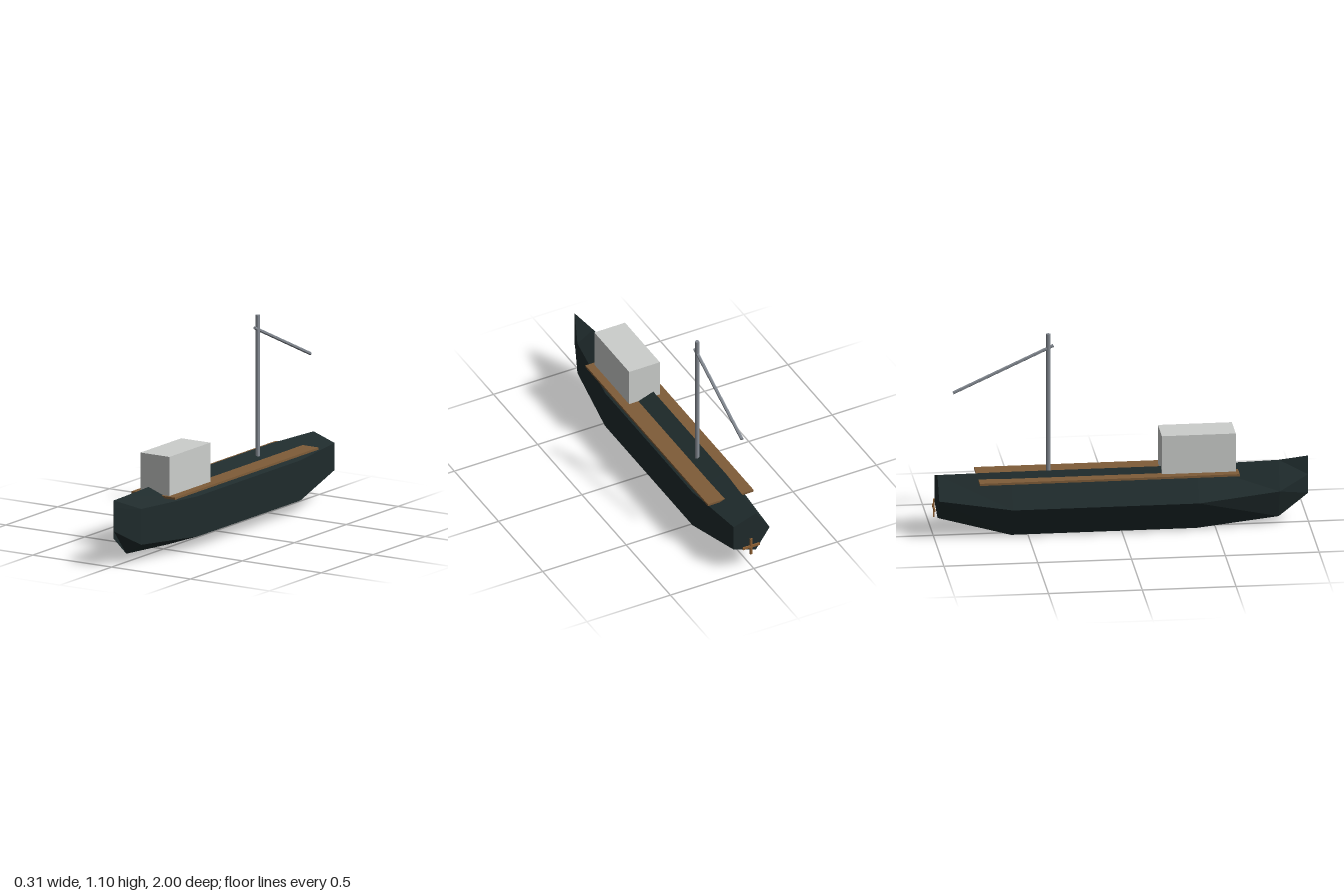
import * as THREE from 'three';

const CX = 0.0136; // keel line of the boat

function material(name, color, flatShading = true) {
  const m = new THREE.MeshStandardMaterial({ color, flatShading });
  m.name = name;
  return m;
}

// Five-sided hull lofted through elliptical stations [z, centreY, radiusX, radiusY]
function hullGeometry() {
  const stations = [
    [1.0, 0.26, 0.002, 0.11],
    [0.84, 0.1975, 0.084, 0.166],
    [0.4, 0.177, 0.169, 0.186],
    [-0.59, 0.177, 0.169, 0.186],
    [-0.98, 0.225, 0.119, 0.126],
  ];
  const sides = 5;
  const points = [];
  const index = [];
  for (const [z, cy, rx, ry] of stations) {
    for (let j = 0; j < sides; j++) {
      const a = Math.PI / 5 + (j * 2 * Math.PI) / sides;
      points.push(CX + rx * Math.cos(a), cy + ry * Math.sin(a), z);
    }
  }
  for (let i = 0; i < stations.length - 1; i++) {
    for (let j = 0; j < sides; j++) {
      const a = i * sides + j;
      const b = i * sides + ((j + 1) % sides);
      index.push(a, a + sides, b, b, a + sides, b + sides);
    }
  }
  // Bow and stern caps
  const last = (stations.length - 1) * sides;
  for (let j = 1; j < sides - 1; j++) {
    index.push(0, j, j + 1, last, last + j + 1, last + j);
  }
  const indexed = new THREE.BufferGeometry();
  indexed.setAttribute('position', new THREE.Float32BufferAttribute(points, 3));
  indexed.setIndex(index);
  const g = indexed.toNonIndexed();
  g.computeVertexNormals();
  return g;
}

export function createModel() {
  const model = new THREE.Group();
  model.name = 'boat';
  const hullPaint = material('dark hull', 0x1f2b2c);
  const wood = material('deck wood', 0x7f5c38);
  const white = material('cabin grey', 0xcccecc);
  const steel = material('mast steel', 0x858b93);
  const bronze = material('propeller bronze', 0x8f6033);

  const add = (name, geometry, mat, x, y, z, parent = model) => {
    const mesh = new THREE.Mesh(geometry, mat);
    mesh.name = name;
    mesh.position.set(x, y, z);
    parent.add(mesh);
    return mesh;
  };

  add('hull', hullGeometry(), hullPaint, 0, 0, 0);

  // Deck slab, pierced by the ridge of the hull
  add('deck', new THREE.BoxGeometry(0.274, 0.012, 1.385), wood, CX, 0.316, -0.0725);
  add('cabin', new THREE.BoxGeometry(0.184, 0.215, 0.394), white, CX, 0.4275, 0.407);

  // Mast and sloping boom
  add('mast', new THREE.CylinderGeometry(0.012, 0.012, 0.78, 8), steel, CX, 0.711, -0.385);
  const start = new THREE.Vector3(CX, 1.035, -0.358);
  const end = new THREE.Vector3(CX, 0.79, -0.893);
  const along = end.clone().sub(start);
  const middle = start.clone().add(end).multiplyScalar(0.5);
  const boom = add('boom', new THREE.CylinderGeometry(0.009, 0.009, along.length(), 6), steel, ...middle);
  boom.quaternion.setFromUnitVectors(new THREE.Vector3(0, 1, 0), along.normalize());

  // Crossed propeller blades behind the stern
  const propeller = new THREE.Group();
  propeller.name = 'propeller';
  propeller.position.set(CX, 0.15, -0.996);
  model.add(propeller);
  for (let i = 0; i < 2; i++) {
    const blade = add('propellerBlade', new THREE.BoxGeometry(0.1, 0.014, 0.008), bronze, 0, 0, 0, propeller);
    blade.rotation.z = (i * Math.PI) / 2;
  }
  return model;
}
